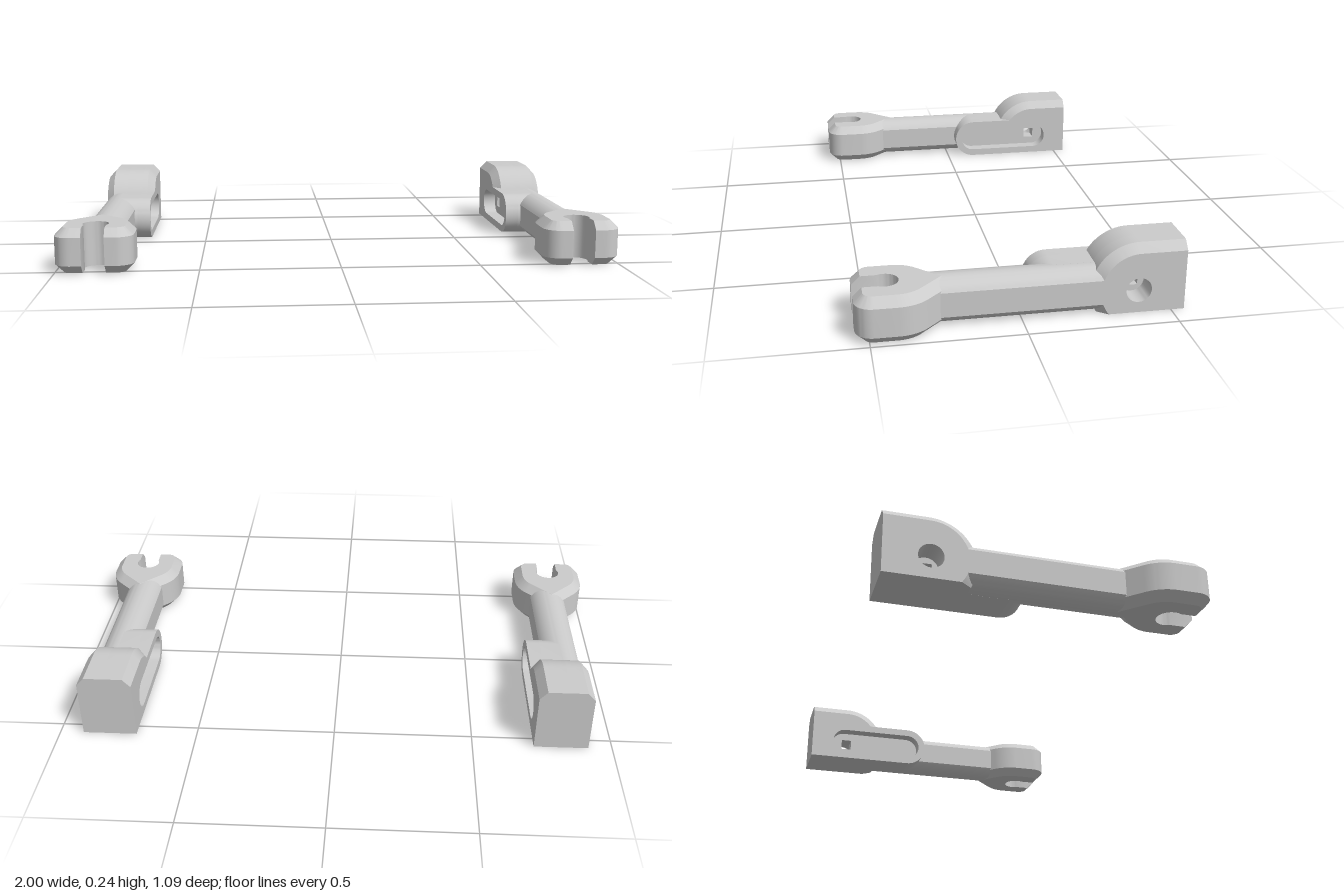
import * as THREE from 'three';
import { toCreasedNormals } from 'three/addons/utils/BufferGeometryUtils.js';

const material = new THREE.MeshStandardMaterial({ color: 0xcccccc });
const V2 = (a, b) => new THREE.Vector2(a, b);
const V3 = (x, y, z) => new THREE.Vector3(x, y, z);
const MID = 0.08;      // height of all centre lines
const PIVOT = -0.39;   // z of the head's pivot

// Points on an arc, angles in radians
function arc(ca, cb, r, from, to, n = 16) {
  return Array.from({ length: n + 1 }, (_, i) => {
    const t = from + (to - from) * i / n;
    return V2(ca + r * Math.cos(t), cb + r * Math.sin(t));
  });
}

// Solid from outlines at rising heights [h, points], with straight holes through it
function stack(name, levels, matrix, holes = []) {
  const pos = [];
  const tri = (...p) => p.forEach(([v, h]) => pos.push(v.x, v.y, h));
  const orient = (pts, cw) => THREE.ShapeUtils.isClockWise(pts) === cw ? pts : pts.slice().reverse();
  levels = levels.map(([h, pts]) => [h, orient(pts, false)]);
  holes = holes.map(h => orient(h, true));
  const first = levels[0], last = levels[levels.length - 1];

  const wall = (p, h0, q, h1) => p.forEach((_, i) => {
    const j = (i + 1) % p.length;
    tri([p[i], h0], [p[j], h0], [q[j], h1]);
    tri([p[i], h0], [q[j], h1], [q[i], h1]);
  });
  for (let k = 1; k < levels.length; k++) wall(levels[k - 1][1], levels[k - 1][0], levels[k][1], levels[k][0]);
  holes.forEach(h => wall(h, first[0], h, last[0]));

  for (const [h, pts] of [first, last]) {
    const all = [pts, ...holes].flat();
    for (const [a, b, c] of THREE.ShapeUtils.triangulateShape(pts, holes)) {
      const f = h === last[0] ? [a, b, c] : [a, c, b];
      tri(...f.map(i => [all[i], h]));
    }
  }

  // Keep faces outward when the placement mirrors
  if (matrix.determinant() < 0) {
    for (let i = 0; i < pos.length; i += 9) {
      for (let k = 3; k < 6; k++) [pos[i + k], pos[i + k + 3]] = [pos[i + k + 3], pos[i + k]];
    }
  }
  const geo = new THREE.BufferGeometry();
  geo.setAttribute('position', new THREE.Float32BufferAttribute(pos, 3));
  geo.applyMatrix4(matrix);
  const mesh = new THREE.Mesh(toCreasedNormals(geo, 0.5), material);
  mesh.name = name;
  return mesh;
}

// Head side outline (z, y): square back, rounded front
const headOutline = r => [
  V2(-0.545, 0),
  ...arc(PIVOT, MID, r, Math.asin(-MID / r), Math.PI / 2, 28),
  V2(-0.545, MID + r),
];

// Head outline merged with the round-ended side plate
const flangeOutline = r => [
  V2(-0.545, 0),
  ...arc(-0.115, MID, MID, -Math.PI / 2, Math.PI / 2, 24),
  ...arc(PIVOT, MID, r, Math.asin(MID / r), Math.PI / 2, 16),
  V2(-0.545, MID + r),
];

// Open claw outline (x, z), inset by d everywhere but the mouth
function clawOutline(d) {
  const mouth = 0.04, bore = 0.046, t = Math.acos(mouth / bore);
  const half = [
    V2(mouth, 0.545 - d),
    ...arc(0.0775, 0.485, 0.06 - d, Math.PI / 2, 0, 10),
    ...arc(0, 0.41, 0.1375 - d, 0, -Math.PI / 4, 12),
  ];
  const tip = V2(0, 0.41 - (0.1375 - d) * Math.SQRT2);
  return [
    ...half, tip,
    ...half.slice().reverse().map(p => V2(-p.x, p.y)),
    ...arc(0, 0.44, bore, Math.PI - t, 2 * Math.PI + t, 28),
  ];
}

function createArm(s) {
  const arm = new THREE.Group();
  arm.name = s > 0 ? 'leftArm' : 'rightArm';
  const X = V3(s, 0, 0), Y = V3(0, 1, 0), Z = V3(0, 0, 1);
  const sideways = new THREE.Matrix4().makeBasis(Z, Y, X);
  const upward = new THREE.Matrix4().makeBasis(X, Z, Y).setPosition(s * 0.8625, 0, 0);
  const forward = new THREE.Matrix4().makeBasis(X, Y, Z).setPosition(s * 0.8475, MID, 0);

  // Slotted inner flange
  const slot = [
    ...arc(-0.115, MID, 0.052, -Math.PI / 2, Math.PI / 2),
    ...arc(-0.4, MID, 0.052, Math.PI / 2, Math.PI * 1.5),
  ];
  arm.add(stack('slottedFlange', [
    [0.72, flangeOutline(0.13)], [0.748, flangeOutline(0.16)], [0.77, flangeOutline(0.16)],
  ], sideways, [slot]));

  // Head, with a square hole opening into a round one
  const q = 0.021, c = -0.387;
  const square = [V2(c - q, MID - q), V2(c + q, MID - q), V2(c + q, MID + q), V2(c - q, MID + q)];
  const round = arc(c, MID, 0.043, 0, Math.PI * 2, 32).slice(0, -1);
  arm.add(stack('headCore', [[0.77, headOutline(0.16)], [0.83, headOutline(0.16)]], sideways, [square]));
  arm.add(stack('headOuter', [
    [0.83, headOutline(0.16)], [0.887, headOutline(0.16)], [0.915, headOutline(0.13)],
  ], sideways, [round]));

  // Web joining the flange to the shaft
  const web = [V2(-0.27, 0), ...arc(-0.115, MID, MID, -Math.PI / 2, Math.PI / 2, 24), V2(-0.27, 2 * MID)];
  arm.add(stack('flangeWeb', [[0.77, web], [0.845, web]], sideways));

  // Round shaft with flattened sides
  const flat = Math.acos(0.0675 / MID);
  const section = [
    ...arc(0, 0, MID, flat, Math.PI - flat, 20),
    ...arc(0, 0, MID, Math.PI + flat, 2 * Math.PI - flat, 20),
  ];
  arm.add(stack('shaft', [[-0.3, section], [0.32, section]], forward));

  // Chamfered open claw
  arm.add(stack('claw', [
    [0, clawOutline(0.03)], [0.03, clawOutline(0)], [0.13, clawOutline(0)], [0.16, clawOutline(0.03)],
  ], upward));
  return arm;
}

export function createModel() {
  const model = new THREE.Group();
  model.name = 'armPair';
  model.add(createArm(1), createArm(-1));
  return model;
}
